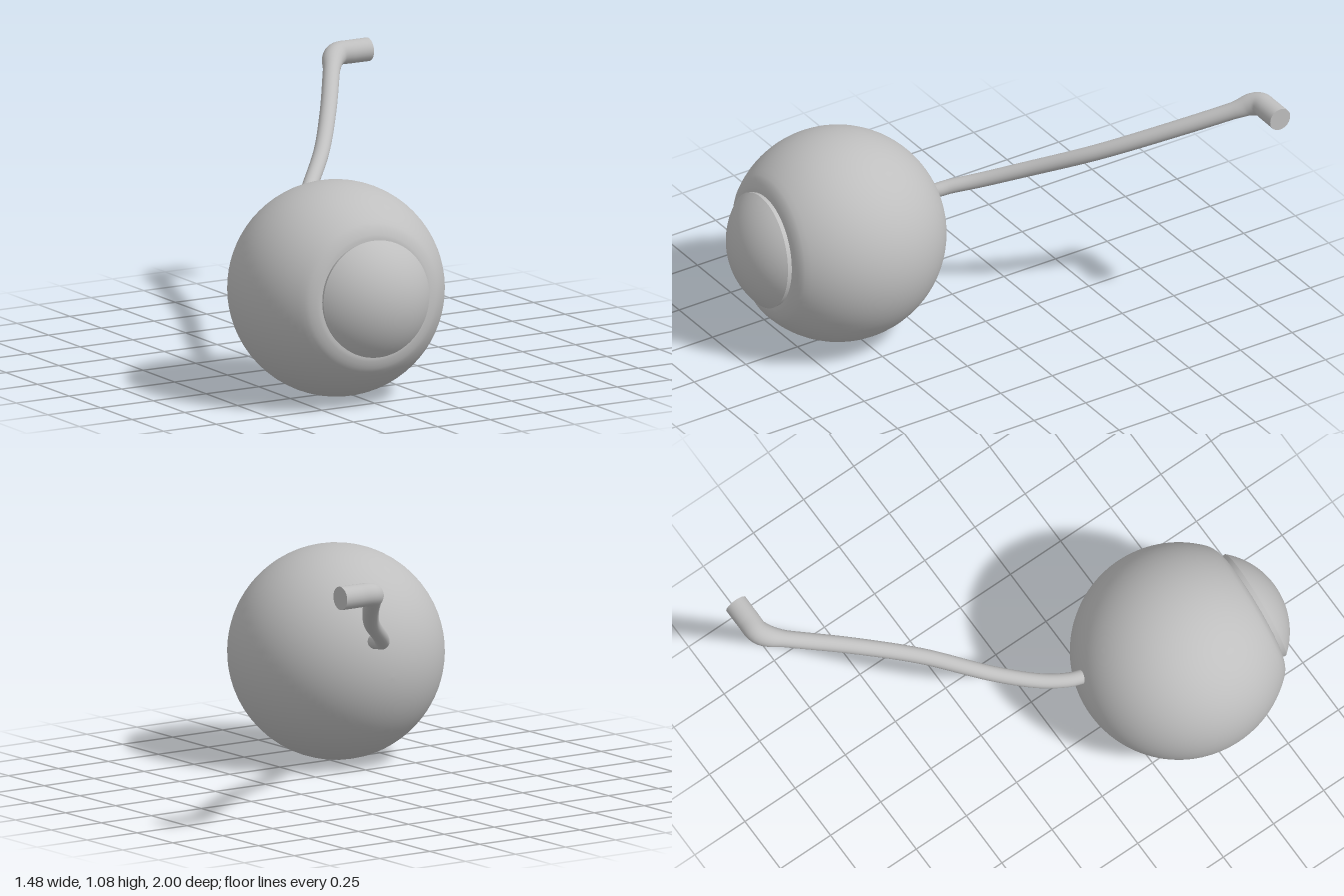
import * as THREE from 'three';

const grey = new THREE.MeshStandardMaterial({ color: 0xbfbfbf });
grey.name = 'plain grey';

const part = (name, geometry, parent) => {
  const mesh = new THREE.Mesh(geometry, grey);
  mesh.name = name;
  parent.add(mesh);
  return mesh;
};
const v2 = (x, y) => new THREE.Vector2(x, y);

// Points on a circle about the lathe axis, between two angles from the pole
function arc(radius, offset, from, to, steps) {
  return Array.from({ length: steps + 1 }, (_, i) => {
    const a = from + (to - from) * i / steps;
    return v2(Math.max(0, radius * Math.sin(a)), offset + radius * Math.cos(a));
  });
}

export function createModel() {
  const model = new THREE.Group();
  model.name = 'eye';

  // Eyeball group: its local y axis looks out through the cornea
  const eyeball = new THREE.Group();
  eyeball.name = 'eyeball';
  eyeball.position.set(-0.298, 0.444, 0.524);
  eyeball.quaternion.setFromUnitVectors(
    new THREE.Vector3(0, 1, 0),
    new THREE.Vector3(-0.07, 0.075, 1).normalize());
  model.add(eyeball);

  // Sclera: a ball that flattens into a shallow groove round the cornea
  const R = 0.443;
  const ball = arc(R, 0, Math.PI, Math.asin(0.305 / R), 40);
  const groove = [v2(0.29, 0.331), v2(0.275, 0.338), v2(0.26, 0.343), v2(0.247, 0.346), v2(0.225, 0.346)];
  part('sclera', new THREE.LatheGeometry([...ball, ...groove], 64), eyeball);

  // Cornea: a steeper dome with a thin rim standing in the groove
  const rimR = 0.241, rimY = 0.366, apex = 0.475, h = apex - rimY;
  const domeR = (rimR * rimR + h * h) / (2 * h);
  part('cornea', new THREE.LatheGeometry(arc(domeR, apex - domeR, Math.asin(rimR / domeR), 0, 20), 64), eyeball);
  part('corneaRim', new THREE.LatheGeometry([v2(0.236, 0.34), v2(rimR, rimY)], 64), eyeball);

  // Optic nerve: a winding, gently thickening tube
  const path = new THREE.CatmullRomCurve3([
    [-0.197, 0.563, 0.115], [-0.18, 0.573, 0.06], [-0.125, 0.596, -0.04], [-0.01, 0.657, -0.19],
    [0.19, 0.77, -0.41], [0.36, 0.88, -0.64], [0.52, 0.99, -0.88],
    [0.553, 1.016, -0.925], [0.59, 1.029, -0.95], [0.65, 1.03, -0.952], [0.735, 1.03, -0.952],
  ].map(p => new THREE.Vector3(...p)));
  path.arcLengthDivisions = 600;
  const N = 110, SIDES = 24;
  const radiusAt = t => 0.03 + 0.006 * t + 0.0125 * THREE.MathUtils.smoothstep(t, 0.82, 0.9);
  const tube = new THREE.TubeGeometry(path, N, 1, SIDES);
  const pos = tube.attributes.position, v = new THREE.Vector3();
  for (let i = 0; i <= N; i++) {
    const c = path.getPointAt(i / N);
    for (let j = 0; j <= SIDES; j++) {
      const k = i * (SIDES + 1) + j;
      v.fromBufferAttribute(pos, k).sub(c).multiplyScalar(radiusAt(i / N)).add(c);
      pos.setXYZ(k, v.x, v.y, v.z);
    }
  }
  part('opticNerve', tube, model);

  // Flat caps on both ends of the nerve
  for (const [name, t, sign] of [['nerveRootCap', 0, -1], ['nerveEndCap', 1, 1]]) {
    const cap = part(name, new THREE.CircleGeometry(radiusAt(t), SIDES), model);
    cap.position.copy(path.getPointAt(t));
    cap.quaternion.setFromUnitVectors(new THREE.Vector3(0, 0, 1), path.getTangentAt(t).multiplyScalar(sign));
  }
  return model;
}
